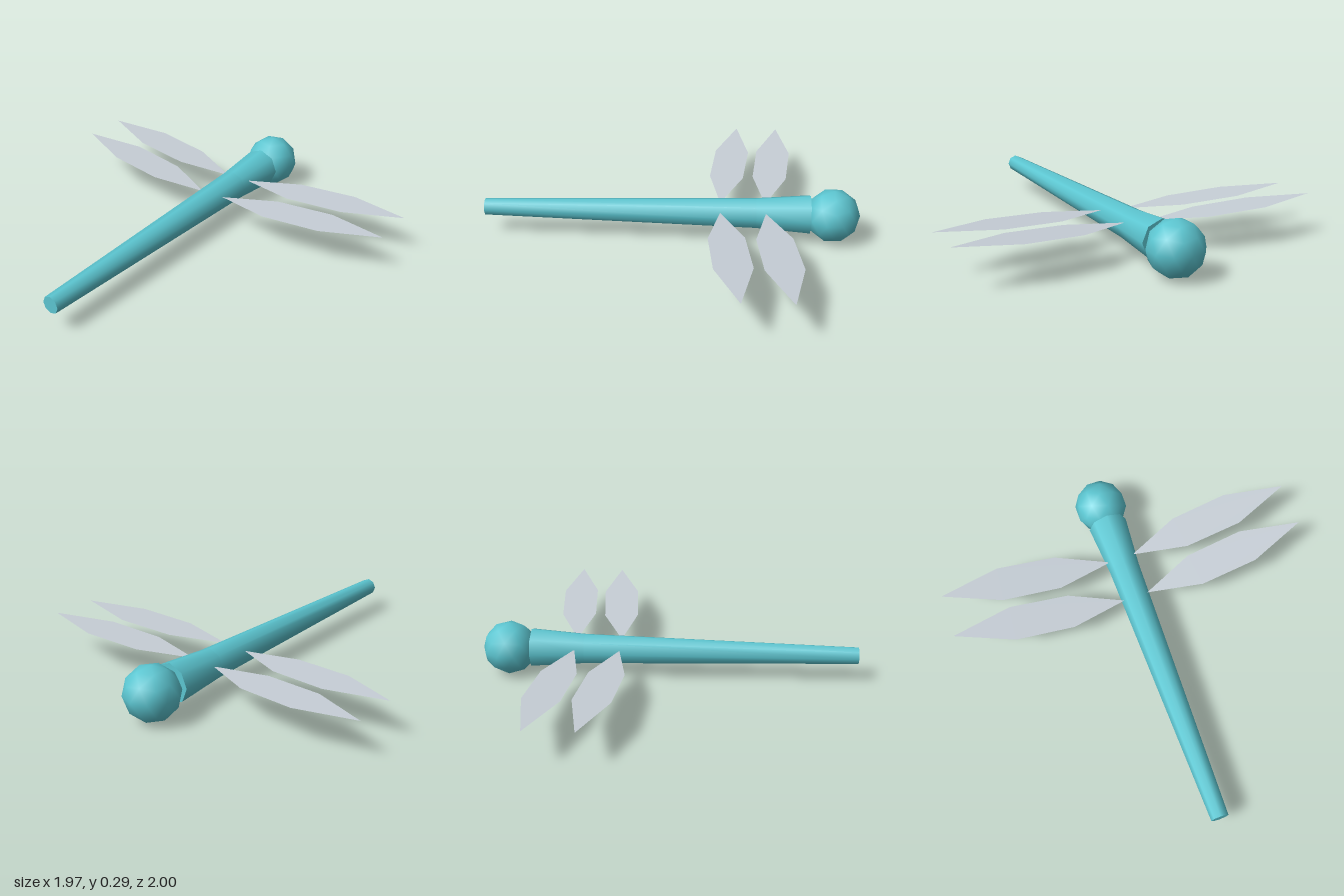
import * as THREE from 'three';

const AXIS_Y = 0.143;

function material(name, color, side = THREE.FrontSide) {
  const m = new THREE.MeshStandardMaterial({ color, side });
  m.name = name;
  return m;
}

export function createModel() {
  const model = new THREE.Group();
  model.name = 'dragonfly';
  const teal = material('teal', 0x5cc6d1);
  const wingGrey = material('wingGrey', 0xc6ced6, THREE.DoubleSide);

  function add(name, geometry, mat, x = 0, y = 0, z = 0) {
    const mesh = new THREE.Mesh(geometry, mat);
    mesh.name = name;
    mesh.position.set(x, y, z);
    model.add(mesh);
    return mesh;
  }

  // Head: smooth low-poly ball with a vertex straight up
  const head = new THREE.IcosahedronGeometry(0.143, 1);
  head.rotateX(-Math.atan((1 + Math.sqrt(5)) / 2));
  head.rotateY(Math.PI / 2);
  add('head', head, teal, 0, AXIS_Y, -0.857);

  // Body: eight-sided thorax and long tapering tail along z
  const SIDES = 8;
  function taper(name, zBack, rBack, zFront, rFront) {
    const g = new THREE.CylinderGeometry(rFront, rBack, zFront - zBack, SIDES, 1, true);
    g.rotateX(Math.PI / 2);
    add(name, g, teal, 0, AXIS_Y + 0.003, (zBack + zFront) / 2);
  }
  taper('thorax', -0.735, 0.106, -0.45, 0.083);
  taper('tail', -0.45, 0.083, 1, 0.046);

  // Flat caps at both ends of the body
  add('tailTip', new THREE.CircleGeometry(0.046, SIDES), teal, 0, AXIS_Y + 0.003, 1);
  add('collar', new THREE.CircleGeometry(0.106, SIDES), teal, 0, AXIS_Y + 0.003, -0.735)
    .rotation.y = Math.PI;

  // Wings: thin pointed blades, rising slightly towards the tip
  const outline = [
    [0.065, -0.5], [0.345, -0.625], [0.66, -0.66],
    [0.985, -0.595], [0.68, -0.47], [0.365, -0.44],
  ];
  function wing(name, side, zShift, rootY) {
    const shape = new THREE.Shape(outline.map(([x, z]) => new THREE.Vector2(side * x, -z)));
    const g = new THREE.ShapeGeometry(shape);
    g.rotateX(-Math.PI / 2);
    const p = g.attributes.position;
    for (let i = 0; i < p.count; i++) p.setY(i, rootY + 0.049 * Math.abs(p.getX(i)));
    g.computeVertexNormals();
    add(name, g, wingGrey, 0, 0, zShift);
  }
  for (const [pair, zShift] of [['front', 0], ['rear', 0.24]]) {
    wing(pair + 'LeftWing', 1, zShift, 0.173);
    wing(pair + 'RightWing', -1, zShift, 0.165);
  }
  return model;
}
